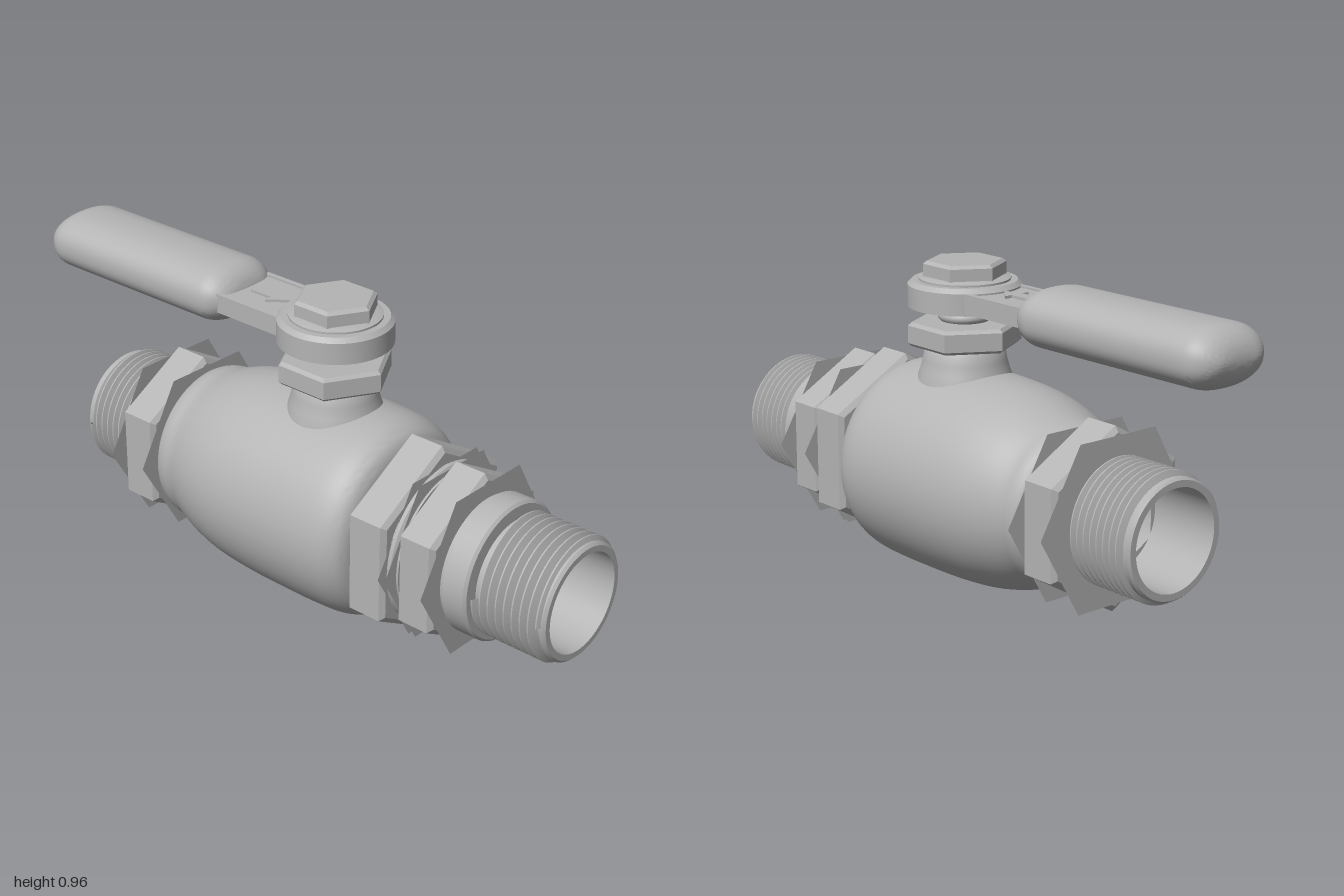
import * as THREE from 'three';
import { toCreasedNormals } from 'three/addons/utils/BufferGeometryUtils.js';

const AXIS_Y = 0.316; // height of the pipe axis
const STEM_X = 0.103; // position of the stem along the pipe

export function createModel() {
  const model = new THREE.Group();
  const steel = new THREE.MeshStandardMaterial({ color: 0xb4b4b4 });
  steel.name = 'steel grey';
  steel.side = THREE.DoubleSide;

  const add = (name, geo, parent = model) => {
    const mesh = new THREE.Mesh(geo, steel);
    mesh.name = name;
    parent.add(mesh);
    return mesh;
  };
  const lathe = (pts, sides) =>
    new THREE.LatheGeometry(pts.map(([r, h]) => new THREE.Vector2(r, h)), sides);

  // Turned part along the pipe; points are [x, radius]
  const axial = (name, pts, sides = 64) => {
    const g = lathe(pts.map(([x, r]) => [r, x]), sides);
    g.rotateY(Math.PI / 2).rotateZ(-Math.PI / 2).translate(0, AXIS_Y, 0);
    return add(name, toCreasedNormals(g, 0.5));
  };
  // Turned part around the stem; points are [radius, y]
  const upright = (name, pts, sides = 48) => {
    const g = lathe(pts, sides);
    g.rotateY(Math.PI / 2).translate(STEM_X, 0, 0);
    return add(name, toCreasedNormals(g, 0.5));
  };

  // Valve body
  const bodyCurve = new THREE.SplineCurve([
    [-0.42, 0.215], [-0.405, 0.238], [-0.375, 0.248], [-0.34, 0.253], [-0.26, 0.282],
    [-0.16, 0.304], [-0.03, 0.314], [0.1, 0.316], [0.22, 0.315], [0.3, 0.308],
    [0.35, 0.285], [0.372, 0.25], [0.378, 0.2],
  ].map(([x, r]) => new THREE.Vector2(x, r)));
  axial('body', [[-0.42, 0.15], ...bodyCurve.getPoints(48).map(p => [p.x, p.y]), [0.378, 0.15]], 96);

  // Pipe with the open bore
  axial('pipe', [
    [-0.785, 0.15], [-0.785, 0.17], [-0.778, 0.176], [-0.762, 0.176], [-0.755, 0.163],
    [0.985, 0.163], [0.985, 0.176], [0.992, 0.176], [1, 0.168], [1, 0.15], [-0.785, 0.15],
  ]);

  // Helical threads: a toothed profile, shifted along the pipe with the angle
  const thread = (name, x0, x1, turns) => {
    const pitch = (x1 - x0) / (turns + 1);
    const pts = [];
    for (let i = 0; i < turns; i++) {
      const x = x0 + i * pitch;
      pts.push([0.162, x], [0.189, x + pitch * 0.42], [0.189, x + pitch * 0.58]);
    }
    pts.push([0.162, x0 + turns * pitch]);
    const sides = 64;
    const g = lathe(pts, sides);
    const pos = g.attributes.position;
    for (let i = 0; i < pos.count; i++) {
      const turn = Math.floor(i / pts.length) / sides;
      pos.setY(i, pos.getY(i) + turn * pitch);
    }
    g.rotateZ(-Math.PI / 2).translate(0, AXIS_Y, 0);
    add(name, toCreasedNormals(g, 0.5));
  };
  thread('leftPipeThread', -0.772, -0.545, 8);
  thread('rightPipeThread', 0.752, 0.995, 8);

  // Hexagonal nuts on the pipe, corners up and down
  const nut = (name, x0, x1, r) => axial(name, [
    [x0, 0.155], [x0, r - 0.018], [x0 + 0.012, r], [x1 - 0.012, r], [x1, r - 0.018], [x1, 0.155],
  ], 6);
  nut('leftNut', -0.556, -0.424, 0.273);
  nut('bodyNut', 0.38, 0.512, 0.303);
  nut('unionNut', 0.54, 0.664, 0.273);

  // Paper-thin hexagonal faces turned by 30 degrees at the nut ends
  for (const x of [-0.557, -0.423, 0.514, 0.538, 0.666]) {
    const g = new THREE.RingGeometry(0.19, 0.285, 6, 1);
    g.rotateY(Math.PI / 2).translate(x, AXIS_Y, 0);
    add('nutEndFace', g);
  }

  // Spacer, collar and shoulders between the nuts
  axial('spacer', [[0.5, 0.15], [0.5, 0.247], [0.526, 0.247], [0.534, 0.235], [0.545, 0.235], [0.545, 0.15]]);
  axial('collar', [
    [0.655, 0.15], [0.655, 0.2], [0.675, 0.2], [0.682, 0.211], [0.752, 0.211],
    [0.76, 0.203], [0.76, 0.15],
  ]);

  // Neck, packing nut, stem and seal
  upright('neck', [[0.155, 0.5], [0.145, 0.6], [0.134, 0.63], [0.126, 0.66], [0.121, 0.688], [0.113, 0.7], [0, 0.7]]);
  upright('packingNut', [[0, 0.702], [0.16, 0.702], [0.171, 0.711], [0.171, 0.764], [0.16, 0.774], [0, 0.774]], 6);
  upright('stem', [[0, 0.69], [0.058, 0.69], [0.058, 0.83], [0, 0.83]]);
  const seal = new THREE.TorusGeometry(0.065, 0.016, 12, 48);
  add('sealRing', seal.rotateX(Math.PI / 2).translate(STEM_X, 0.791, 0));

  // Lever hub, washer and top nut
  upright('leverHub', [[0, 0.822], [0.17, 0.822], [0.17, 0.887], [0.157, 0.9], [0, 0.9]], 64);
  upright('washer', [[0, 0.898], [0.137, 0.898], [0.137, 0.906], [0.12, 0.912], [0, 0.912]]);
  upright('topNut', [[0, 0.91], [0.125, 0.91], [0.125, 0.948], [0.113, 0.957], [0, 0.957]], 6);

  // Lever arm: plate with raised edges and a direction arrow
  const lever = new THREE.Group();
  lever.name = 'leverArm';
  model.add(lever);
  const box = (name, w, h, d, x, y, z) =>
    add(name, new THREE.BoxGeometry(w, h, d).translate(x, y, z), lever);
  box('armPlate', 0.36, 0.036, 0.2, -0.13, 0.864, 0);
  for (const s of [-1, 1]) box('armEdge', 0.36, 0.058, 0.016, -0.13, 0.859, s * 0.102);
  const arrow = new THREE.Shape([
    [-0.21, -0.02], [-0.13, -0.02], [-0.13, -0.045], [-0.075, 0],
    [-0.13, 0.045], [-0.13, 0.02], [-0.21, 0.02],
  ].map(([x, y]) => new THREE.Vector2(x, y)));
  const arrowGeo = new THREE.ExtrudeGeometry(arrow, { depth: 0.008, bevelEnabled: false });
  add('directionArrow', arrowGeo.rotateX(-Math.PI / 2).translate(0, 0.882, 0), lever);

  // Grip: rounded cross-sections lofted along x, closing at both ends
  const RINGS = 48, AROUND = 48, END = 0.09, x0 = -1, x1 = -0.235;
  const verts = [], faces = [];
  const power = v => Math.sign(v) * Math.abs(v) ** 0.85;
  for (let i = 0; i <= RINGS; i++) {
    // Rings are bunched at the rounded ends
    const half = RINGS / 2;
    const k = i <= half ? i : RINGS - i;
    const angle = Math.min(k / 16, 1) * Math.PI / 2;
    const inset = k <= 16 ? END * (1 - Math.cos(angle))
      : END + (k - 16) / (half - 16) * ((x1 - x0) / 2 - END);
    const x = i <= half ? x0 + inset : x1 - inset;
    const s = Math.sin(angle);
    for (let j = 0; j <= AROUND; j++) {
      const a = (j / AROUND) * Math.PI * 2;
      verts.push(x, 0.857 + 0.088 * s * power(Math.sin(a)), (0.05 + 0.09 * s) * power(Math.cos(a)));
    }
  }
  for (let i = 0; i < RINGS; i++) {
    for (let j = 0; j < AROUND; j++) {
      const a = i * (AROUND + 1) + j, b = a + AROUND + 1;
      faces.push(a, a + 1, b, b, a + 1, b + 1);
    }
  }
  const grip = new THREE.BufferGeometry();
  grip.setAttribute('position', new THREE.Float32BufferAttribute(verts, 3));
  grip.setIndex(faces);
  add('grip', toCreasedNormals(grip, 0.9));

  return model;
}
